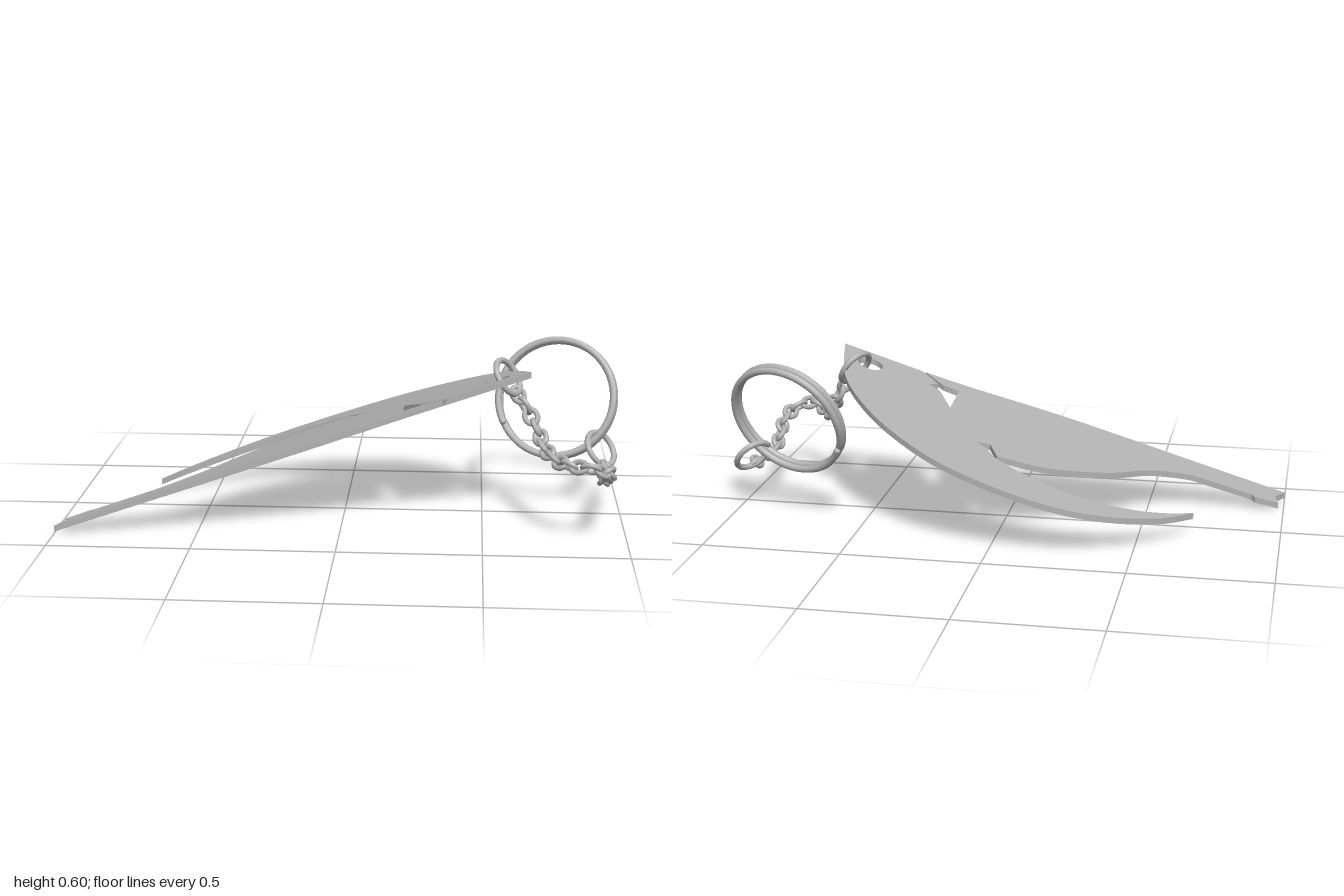
import * as THREE from 'three';
import { toCreasedNormals } from 'three/addons/utils/BufferGeometryUtils.js';

const V = (x, y, z) => new THREE.Vector3(x, y, z);

export function createModel() {
  const root = new THREE.Group();
  const steel = new THREE.MeshStandardMaterial({ color: 0xb2b2b2 });
  steel.name = 'steel grey';

  const add = (name, geometry, parent = root) => {
    const mesh = new THREE.Mesh(geometry, steel);
    mesh.name = name;
    parent.add(mesh);
    return mesh;
  };

  // Smooth run of plan points [x, z]
  const smooth = (pts, n) =>
    new THREE.SplineCurve(pts.map(([x, z]) => new THREE.Vector2(x, -z))).getPoints(n);
  const sharp = (pts) => pts.map(([x, z]) => new THREE.Vector2(x, -z));

  // Flat plate: curved hook on the back, tapering body on the front
  const outline = [
    ...smooth([[0.66, 0.21], [0.60, -0.02], [0.51, -0.17], [0.375, -0.30], [0.19, -0.40], [-0.02, -0.432],
      [-0.24, -0.41], [-0.42, -0.33], [-0.58, -0.205], [-0.69, -0.07]], 48),
    ...smooth([[-0.685, -0.072], [-0.61, -0.14], [-0.50, -0.21], [-0.37, -0.257], [-0.23, -0.275],
      [-0.09, -0.257], [0.005, -0.22]], 32),
    // small notch between hook and body
    ...sharp([[0.04, -0.18], [0.08, -0.16], [0.035, -0.14]]),
    ...smooth([[-0.003, -0.208], [-0.16, -0.16], [-0.29, -0.08], [-0.40, 0.01], [-0.50, 0.12], [-0.60, 0.19],
      [-0.66, 0.22]], 28),
    // tail end
    ...sharp([[-0.88, 0.25], [-0.895, 0.237], [-0.98, 0.262], [-0.965, 0.305], [-1, 0.368]]),
    ...smooth([[-0.72, 0.345], [-0.18, 0.30], [0.19, 0.243], [0.355, 0.227]], 20),
    // slit opening through the front edge
    ...sharp([[0.275, 0.177], [0.215, 0.177], [0.215, 0.02], [0.275, 0.12], [0.32, 0.14], [0.295, 0.172],
      [0.367, 0.225]]),
  ];
  const shape = new THREE.Shape(outline);
  const hole = new THREE.Path();
  hole.absarc(0.54, -0.125, 0.045, 0, Math.PI * 2, true);
  shape.holes.push(hole);
  const plate = new THREE.ExtrudeGeometry(shape, { depth: 0.022, bevelEnabled: false, curveSegments: 24 });
  plate.rotateX(-Math.PI / 2);
  // lean the plate upward towards the ring end
  const p = plate.attributes.position;
  for (let i = 0; i < p.count; i++) {
    p.setY(i, p.getY(i) + 0.30 + 0.34 * p.getX(i) + 0.1275 * p.getZ(i));
  }
  add('hookedPlate', toCreasedNormals(plate, 0.5));

  // Turn a part lying in the xy plane so that it faces along a normal
  const face = (mesh, centre, normal) => {
    mesh.position.copy(centre);
    mesh.quaternion.setFromUnitVectors(V(0, 0, 1), normal.normalize());
  };

  // Small connecting rings at both ends of the chain
  const ring = () => new THREE.TorusGeometry(0.066, 0.011, 10, 40);
  face(add('plateRing', ring()), V(0.583, 0.52, 0.066), V(1, 0.7, 0.5));
  face(add('endRing', ring()), V(0.932, 0.215, -0.11), V(1, 0.9, 0.8));

  // Split key ring: two turns of wire with a step between them
  const coil = [];
  const turns = 2, steps = 128;
  for (let i = 0; i <= steps; i++) {
    const t = i / steps, a = t * turns * Math.PI * 2 + 3.6;
    const lift = THREE.MathUtils.smoothstep(t, 0.44, 0.56) - 0.5;
    coil.push(V(Math.cos(a) * 0.215, Math.sin(a) * 0.215, lift * 0.025));
  }
  const wire = new THREE.TubeGeometry(new THREE.CatmullRomCurve3(coil), 200, 0.013, 10);
  const keyRing = new THREE.Group();
  keyRing.name = 'keyRing';
  root.add(keyRing);
  add('keyRingCoil', wire, keyRing);
  for (const i of [0, steps]) {
    add('keyRingWireEnd', new THREE.SphereGeometry(0.013, 10, 8), keyRing).position.copy(coil[i]);
  }
  face(keyRing, V(0.767, 0.385, -0.187), V(-0.28, 0.38, 1));

  // Chain: oval links, alternately twisted, strung along a hanging path
  const chain = new THREE.Group();
  chain.name = 'chain';
  root.add(chain);
  const path = new THREE.CatmullRomCurve3([
    V(0.62, 0.455, 0.06), V(0.655, 0.40, 0.07), V(0.68, 0.36, 0.10), V(0.70, 0.32, 0.14), V(0.715, 0.295, 0.20),
    V(0.74, 0.28, 0.26), V(0.775, 0.275, 0.32), V(0.825, 0.28, 0.372), V(0.868, 0.28, 0.392), V(0.91, 0.265, 0.37),
    V(0.935, 0.24, 0.30), V(0.93, 0.205, 0.22), V(0.925, 0.17, 0.14), V(0.94, 0.157, 0.07), V(0.955, 0.155, 0),
    V(0.95, 0.165, -0.045),
  ]);
  const oval = [];
  for (let i = 0; i < 16; i++) {
    const a = (i / 16) * Math.PI * 2;
    oval.push(V(Math.cos(a) * 0.03, Math.sin(a) * 0.022, 0));
  }
  const link = new THREE.TubeGeometry(new THREE.CatmullRomCurve3(oval, true), 28, 0.0095, 8, true);
  const count = 23;
  for (let i = 0; i < count; i++) {
    const t = i / (count - 1);
    const along = path.getTangentAt(t);
    const side = V(0, 1, 0).cross(along).normalize();
    const up = along.clone().cross(side);
    const mesh = add('chainLink', link, chain);
    mesh.position.copy(path.getPointAt(t));
    mesh.quaternion.setFromRotationMatrix(new THREE.Matrix4().makeBasis(along, up, side.clone()
      .negate().negate().crossVectors(along, up)));
    mesh.rotateX(i % 2 ? 0.8 : -0.8);
  }
  return root;
}
